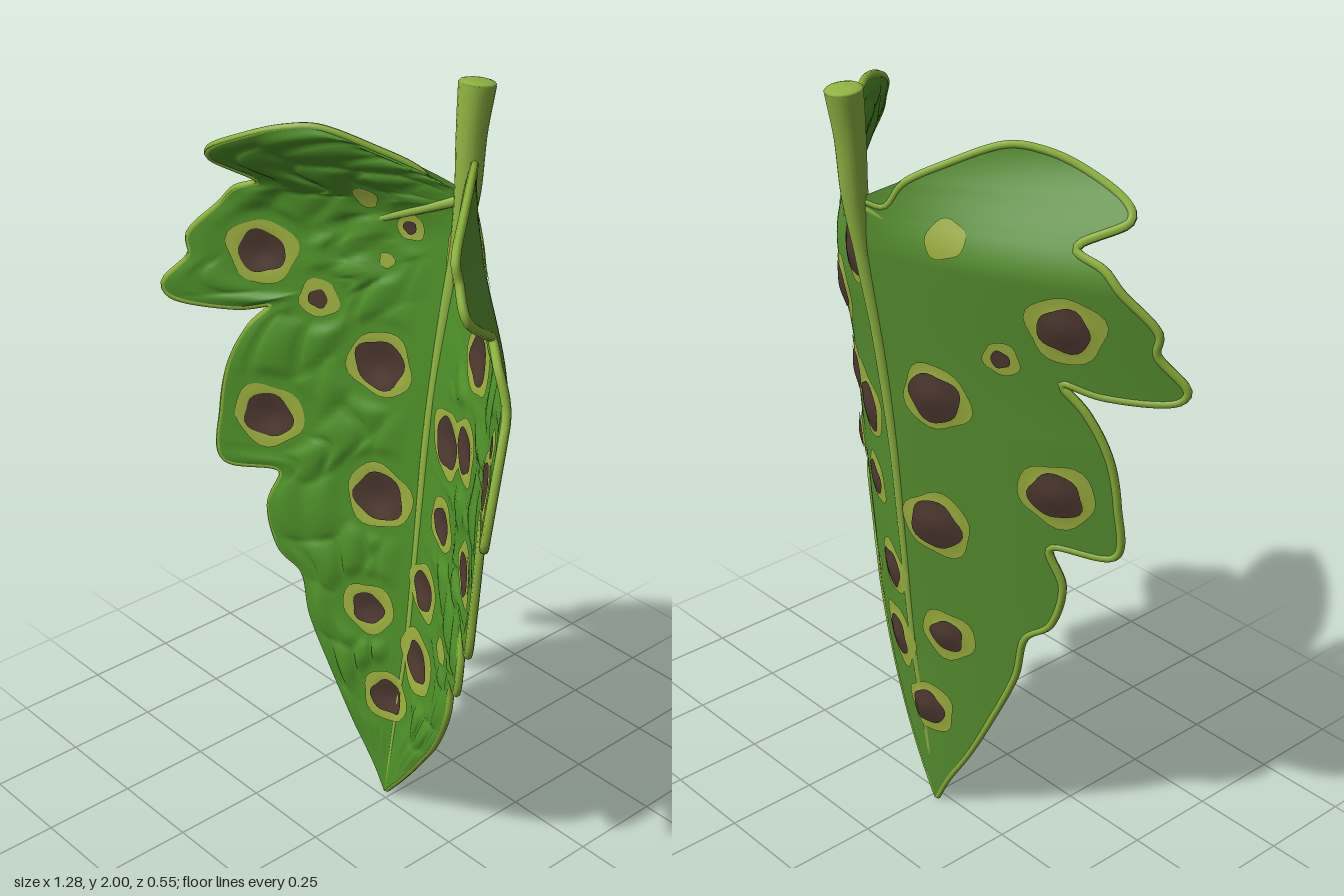
import * as THREE from 'three';

const mat = (name, color) => {
  const m = new THREE.MeshStandardMaterial({ color });
  m.name = name;
  return m;
};
const { smoothstep, lerp } = THREE.MathUtils;

// Blight spots: x, y, brown radius, halo radius
const spots = [
  [-0.405, 1.5, 0.055, 0.083], [0.12, 1.585, 0.06, 0.08], [0.275, 1.42, 0.057, 0.083],
  [0.52, 1.275, 0.047, 0.068], [-0.1, 1.26, 0.065, 0.086], [0.27, 1.19, 0.053, 0.078],
  [0.155, 1.145, 0.063, 0.085], [-0.375, 1.06, 0.06, 0.086], [-0.08, 0.9, 0.067, 0.09],
  [0.165, 0.93, 0.045, 0.068], [0.375, 0.94, 0.048, 0.073], [0.095, 0.7, 0.052, 0.075],
  [-0.09, 0.57, 0.045, 0.073], [0.095, 0.49, 0.055, 0.088], [-0.02, 0.32, 0.05, 0.075]];
// Small marks that differ between the faces
const frontMarks = [
  [-0.265, 1.4, 0.024, 0.05], [-0.05, 1.625, 0.017, 0.035], [0.295, 1.64, 0.022, 0.058],
  [0.525, 1.365, 0.022, 0.036], [-0.15, 1.685, 0, 0.028], [-0.105, 1.53, 0, 0.02],
  [0.235, 0.62, 0, 0.034], [0.2, 1.525, 0, 0.04]];
const backMarks = [
  [-0.265, 1.4, 0.022, 0.042], [0.28, 1.655, 0, 0.055], [-0.14, 1.67, 0, 0.045],
  [0.235, 0.62, 0, 0.024], [0.2, 1.2, 0, 0.05]];

// Midrib position and the cupped, folded blade surface, pushed back a little at each spot
const ribX = y => (y > 1.2 ? lerp(0.035, 0.075, Math.min(1, (y - 1.2) / 0.5))
  : y > 0.5 ? lerp(0.022, 0.035, (y - 0.5) / 0.7) : lerp(-0.02, 0.022, y / 0.5));
const bladeZ = (x, y) => {
  const d = x - ribX(y), a = Math.abs(d);
  const ribZ = -0.02 - 0.085 * Math.min(y, 1.78) - 0.02 * smoothstep(y, 1.2, 1.75);
  if (d > 0) return ribZ + a * (0.27 + 0.7 * a + 0.52 * smoothstep(y, 1.45, 1.85));
  return ribZ + a * (0.27 + 0.32 * a + smoothstep(y, 1.6, 1.9) * (0.75 - 0.8 * a));
};
const surfaceZ = (x, y) => {
  let z = bladeZ(x, y);
  for (const [sx, sy, r] of spots) z -= 0.2 * r * (1 - smoothstep(Math.hypot(x - sx, y - sy), 0, r * 1.25));
  return z;
};

// Outline points: x, y, and the height where their side vein leaves the midrib
const leftEdge = [
  [0.06, 1.73, 1.73], [0.01, 1.72, 1.728], [-0.02, 1.775, 1.727], [-0.09, 1.825, 1.725], [-0.19, 1.875, 1.72],
  [-0.26, 1.868, 1.717], [-0.35, 1.835, 1.715], [-0.465, 1.775, 1.71], [-0.478, 1.75, 1.708], [-0.4, 1.69, 1.7],
  [-0.473, 1.65, 1.695], [-0.515, 1.6, 1.69], [-0.58, 1.515, 1.68], [-0.575, 1.465, 1.67], [-0.632, 1.38, 1.66],
  [-0.615, 1.35, 1.65], [-0.47, 1.34, 1.62], [-0.385, 1.36, 1.59], [-0.435, 1.29, 1.55], [-0.48, 1.185, 1.5],
  [-0.497, 1.05, 1.42], [-0.49, 0.912, 1.32], [-0.35, 0.905, 1.2], [-0.375, 0.8, 1.12], [-0.345, 0.68, 1.0],
  [-0.282, 0.62, 0.85], [-0.255, 0.5, 0.7], [-0.187, 0.335, 0.45], [-0.122, 0.2, 0.27], [-0.055, 0.085, 0.1], [-0.02, 0.012, 0.012]];
const rightEdge = [
  [0.1, 1.74, 1.74], [0.125, 1.78, 1.738], [0.18, 1.85, 1.735], [0.275, 1.893, 1.73], [0.35, 1.895, 1.727],
  [0.445, 1.855, 1.72], [0.49, 1.815, 1.715], [0.5, 1.775, 1.712], [0.543, 1.705, 1.7], [0.515, 1.645, 1.69],
  [0.485, 1.605, 1.68], [0.545, 1.56, 1.66], [0.583, 1.475, 1.63], [0.613, 1.37, 1.59], [0.628, 1.24, 1.54],
  [0.615, 1.19, 1.5], [0.485, 1.18, 1.42], [0.49, 1.05, 1.34], [0.49, 0.92, 1.25], [0.475, 0.797, 1.14],
  [0.375, 0.795, 1.03], [0.385, 0.68, 0.93], [0.375, 0.607, 0.83], [0.325, 0.588, 0.74], [0.308, 0.485, 0.62],
  [0.242, 0.35, 0.45], [0.162, 0.24, 0.3], [0.068, 0.118, 0.14], [-0.02, 0.012, 0.012]];

// Grid of points fn(i, j) joined into a sheet
function sheet(rows, cols, fn, flip) {
  const pos = [], idx = [], w = cols + 1;
  for (let i = 0; i <= rows; i++) for (let j = 0; j <= cols; j++) pos.push(...fn(i, j));
  for (let i = 0; i < rows; i++) for (let j = 0; j < cols; j++) {
    const a = i * w + j, b = a + w;
    if (flip) idx.push(a, a + 1, b, a + 1, b + 1, b);
    else idx.push(a, b, a + 1, a + 1, b, b + 1);
  }
  const g = new THREE.BufferGeometry();
  g.setAttribute('position', new THREE.Float32BufferAttribute(pos, 3));
  g.setIndex(idx);
  g.computeVertexNormals();
  return g;
}

// Tube whose radius follows a list
function taperedTube(points, radii, segs, sides) {
  const curve = new THREE.CatmullRomCurve3(points);
  const g = new THREE.TubeGeometry(curve, segs, 1, sides, false);
  const p = g.attributes.position, c = new THREE.Vector3(), v = new THREE.Vector3();
  for (let i = 0; i <= segs; i++) {
    curve.getPointAt(i / segs, c);
    const f = curve.getUtoTmapping(i / segs) * (radii.length - 1), k = Math.min(Math.floor(f), radii.length - 2);
    const r = lerp(radii[k], radii[k + 1], f - k);
    for (let j = 0; j <= sides; j++) {
      const n = i * (sides + 1) + j;
      v.fromBufferAttribute(p, n).sub(c).multiplyScalar(r).add(c);
      p.setXYZ(n, v.x, v.y, v.z);
    }
  }
  g.computeVertexNormals();
  return g;
}

export function createModel() {
  const model = new THREE.Group();
  const front = mat('leafGreen', 0x4d8f28), back = mat('leafUnderside', 0x568f30);
  const stemGreen = mat('stemGreen', 0x8fb342), edgeGreen = mat('edgeGreen', 0x8ab03a);
  const halo = mat('haloYellow', 0x9cae3e), brown = mat('spotBrown', 0x4d3730);
  const add = (name, geo, m) => {
    const mesh = new THREE.Mesh(geo, m);
    mesh.name = name;
    model.add(mesh);
    return mesh;
  };

  // Blade halves: quilted front, smooth back, rolled rim
  const rows = 220, cols = 36, flatAreas = [...spots, ...frontMarks];
  for (const [name, pts, flip] of [['leftHalf', rightEdge, false], ['rightHalf', leftEdge, true]]) {
    const edge = new THREE.CatmullRomCurve3(pts.map(p => new THREE.Vector3(...p))).getSpacedPoints(rows);
    const at = (i, j) => {
      const e = edge[i], u = j / cols;
      return [lerp(ribX(e.z), e.x, u), lerp(e.z, e.y, u)];
    };
    const quilt = (i, j, x, y) => {
      const u = j / cols, s = (i / rows) * 15 + 0.3 * Math.sin(u * 7);
      let h = Math.sqrt(Math.abs(Math.sin(Math.PI * s) * Math.sin(Math.PI * (4.5 * u + 0.45 * (Math.floor(s) % 2)))));
      h *= smoothstep(u, 0.03, 0.45) * Math.min(1, 8 * (1 - u));
      h *= smoothstep(Math.abs(edge[i].x - ribX(edge[i].z)), 0.03, 0.25);
      for (const [sx, sy, , r] of flatAreas) h *= smoothstep(Math.hypot(x - sx, y - sy), r * 1.15, r * 1.15 + 0.04);
      return 0.016 * h;
    };
    add(name + 'Front', sheet(rows, cols, (i, j) => {
      const [x, y] = at(i, j);
      return [x, y, surfaceZ(x, y) + 0.008 + quilt(i, j, x, y)];
    }, flip), front);
    add(name + 'Back', sheet(rows, cols, (i, j) => {
      const [x, y] = at(i, j);
      return [x, y, surfaceZ(x, y) - 0.01];
    }, !flip), back);
    const rim = edge.map(e => new THREE.Vector3(e.x, e.y, surfaceZ(e.x, e.y) - 0.003));
    add(name + 'Rim', taperedTube(rim, [0.009, 0.011, 0.011, 0.011, 0.01, 0.008], 260, 8), edgeGreen);
  }

  // Spots on each face: halo plate with a brown centre
  const patch = (k, x, y, r, lift, isBack) => sheet(8, 28, (i, j) => {
    const a = (j % 28) / 28 * Math.PI * 2;
    const rr = r * (i / 8) * (1 + 0.06 * Math.sin(3 * a + k) + 0.04 * Math.sin(5 * a + 2.3 * k));
    const px = x + rr * Math.cos(a), py = y + rr * Math.sin(a);
    return [px, py, surfaceZ(px, py) + (isBack ? -lift : lift)];
  }, isBack);
  for (const [face, list, lift] of [['Front', frontMarks, 0.012], ['Back', backMarks, 0.014]]) {
    [...spots, ...list].forEach(([x, y, r, h], k) => {
      add('halo' + face, patch(k, x, y, h, lift, face === 'Back'), halo);
      if (r) add('spot' + face, patch(k + 2, x, y, r, lift + 0.004, face === 'Back'), brown);
    });
  }

  // Stem running down into the midrib
  const onRib = y => new THREE.Vector3(ribX(y), y, bladeZ(ribX(y), y));
  const path = [new THREE.Vector3(0.072, 1.992, -0.215), new THREE.Vector3(0.072, 1.88, -0.2),
    ...[1.74, 1.6, 1.4, 1.1, 0.8, 0.5, 0.25, 0.02].map(onRib)];
  add('stemAndMidrib', taperedTube(path, [0.045, 0.037, 0.032, 0.022, 0.018, 0.016, 0.014, 0.013, 0.011, 0.008], 100, 16), stemGreen);
  const cap = add('stemEnd', new THREE.SphereGeometry(0.045, 16, 8), stemGreen);
  cap.scale.y = 0.2;
  cap.position.copy(path[0]);
  cap.rotation.x = -0.12;

  // Basal side veins: one barely proud of the front, one of the back
  for (const [x, y, offset] of [[-0.2, 1.6, 0.005], [0.33, 1.66, -0.005]]) {
    const pts = [0, 0.33, 0.66, 1].map(t => {
      const px = lerp(0.075, x, t), py = lerp(1.72, y, t);
      return new THREE.Vector3(px, py, bladeZ(px, py) + offset);
    });
    add('sideVein', taperedTube(pts, [0.015, 0.012, 0.01, 0.006], 24, 8), stemGreen);
  }
  return model;
}
